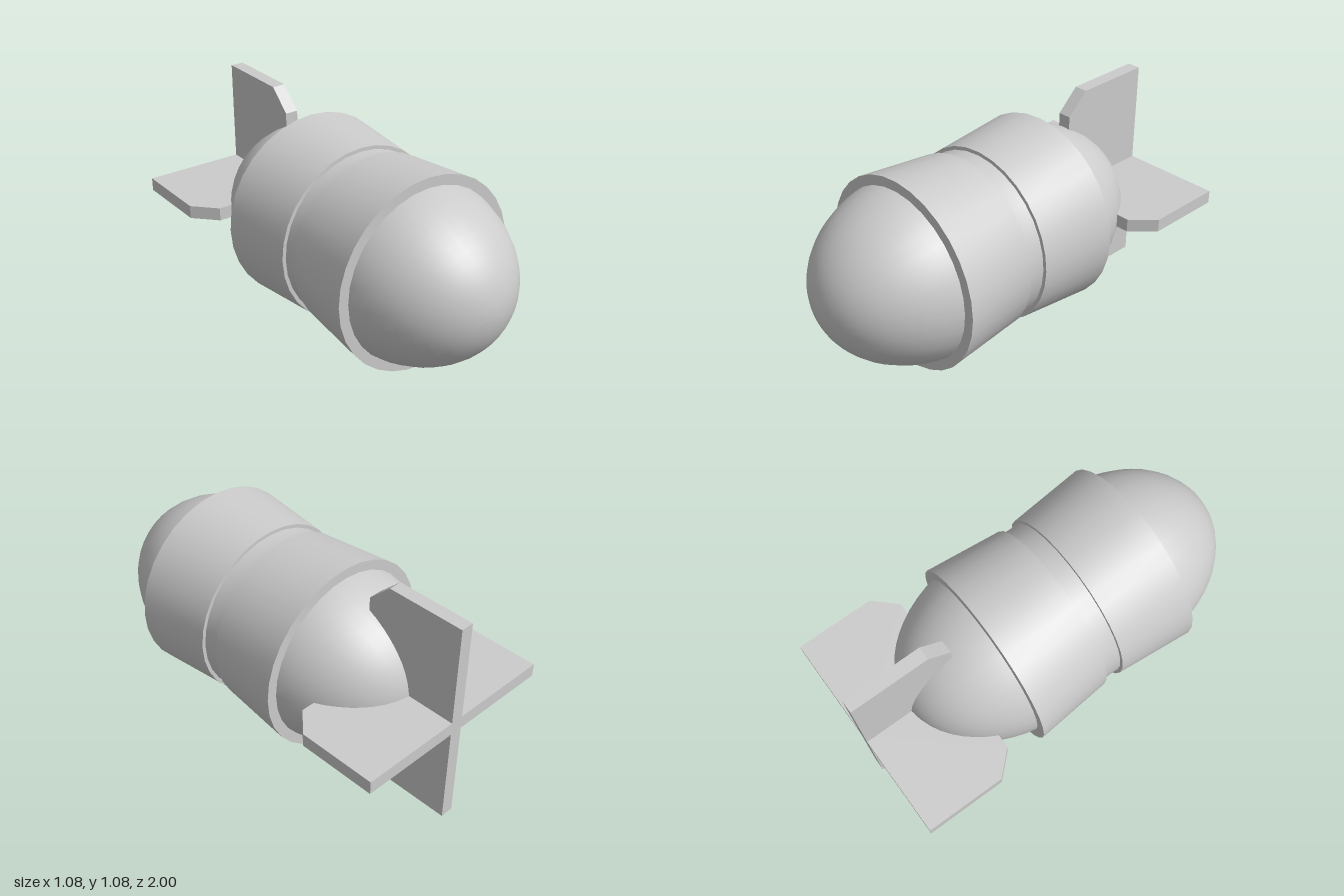
import * as THREE from 'three';
import { toCreasedNormals } from 'three/addons/utils/BufferGeometryUtils.js';

const material = new THREE.MeshStandardMaterial({ color: 0xcccccc });
const SIDES = 32;

// Revolve [radius, z] points about the z axis, keeping sharp edges
function revolve(name, points) {
  const profile = points.map(([r, z]) => new THREE.Vector2(r, z));
  const geometry = new THREE.LatheGeometry(profile, SIDES).rotateX(Math.PI / 2);
  const mesh = new THREE.Mesh(toCreasedNormals(geometry, Math.PI / 6), material);
  mesh.name = name;
  return mesh;
}

export function createModel() {
  const model = new THREE.Group();
  model.name = 'finnedBomb';
  const shell = new THREE.Group();
  shell.position.y = 0.54;
  model.add(shell);

  // Body: two elliptical ends joined by a slightly narrowed waist
  const middle = 0.122, offset = 0.298, steps = 14;
  const bodyPoints = [];
  for (let i = 0; i <= steps; i++) {
    const a = (i / steps) * Math.PI / 2;
    bodyPoints.push([0.445 * Math.sin(a), middle - offset - 0.58 * Math.cos(a)]);
  }
  bodyPoints.push([0.428, 0.06], [0.425, 0.1], [0.425, 0.144], [0.428, 0.184]);
  for (let i = steps; i >= 0; i--) {
    const a = (i / steps) * Math.PI / 2;
    bodyPoints.push([0.445 * Math.sin(a), middle + offset + 0.58 * Math.cos(a)]);
  }
  shell.add(revolve('body', bodyPoints));

  // Flared bands on both sides of the waist
  shell.add(revolve('frontBand', [[0.4, 0.17], [0.445, 0.17], [0.481, 0.562], [0.4, 0.562]]));
  shell.add(revolve('rearBand', [[0.4, -0.32], [0.481, -0.32], [0.445, 0.075], [0.4, 0.075]]));

  // Four tail fins with chamfered front corners
  const outline = new THREE.Shape([
    [0, -1], [0.54, -1], [0.54, -0.605], [0.435, -0.495], [0, -0.495],
  ].map(([r, z]) => new THREE.Vector2(r, z)));
  const thickness = 0.066;
  const finGeometry = new THREE.ExtrudeGeometry(outline, { depth: thickness, bevelEnabled: false })
    .translate(0, 0, -thickness / 2)
    .rotateX(Math.PI / 2);
  ['leftFin', 'topFin', 'rightFin', 'bottomFin'].forEach((name, i) => {
    const fin = new THREE.Mesh(finGeometry, material);
    fin.name = name;
    fin.rotation.z = i * Math.PI / 2;
    shell.add(fin);
  });

  return model;
}
